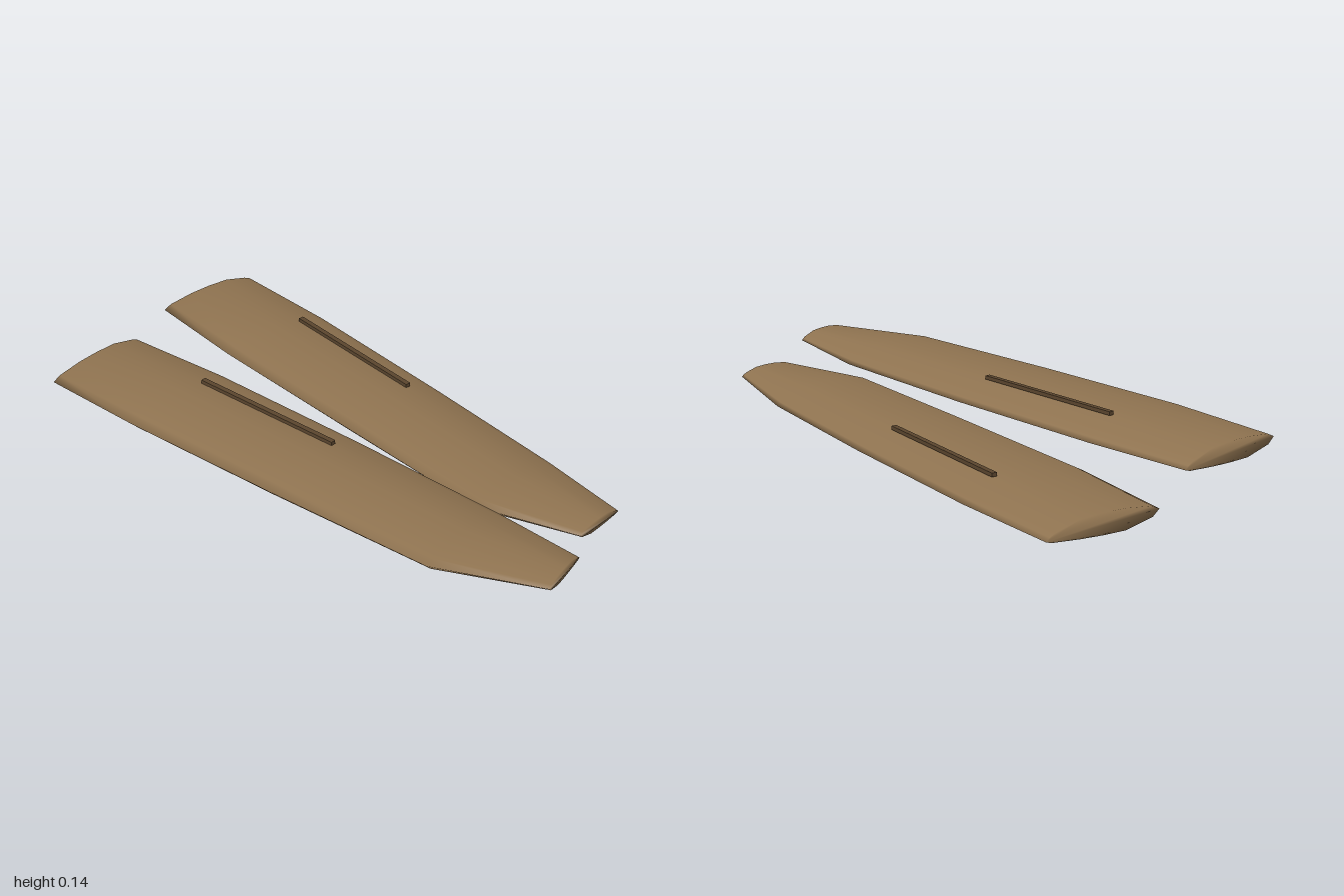
import * as THREE from 'three';

const wood = new THREE.MeshStandardMaterial({ color: 0x8f7350 });
const darkWood = new THREE.MeshStandardMaterial({ color: 0x5a452e });

// Plank cross-section: [fraction across from back edge to front edge, height]
const SECTION = [
  [0, 0.023], [0.03, 0.037], [0.09, 0.05], [0.3, 0.077], [0.5, 0.082], [0.7, 0.08], [0.93, 0.067],
  [1, 0.051], [0.94, 0.026], [0.7, 0], [0.5, 0.001], [0.3, 0.006], [0.05, 0.016],
];

// Thickness along the plank: [scale, middle height]
const THICKNESS = [[0.8, 0.038], [0.97, 0.041], [1, 0.041], [0.86, 0.042], [0.44, 0.052]];

// Loft the section through stations given as [backX, backZ, frontX, frontZ]
function plankGeometry(stations) {
  const n = SECTION.length, last = (stations.length - 1) * n;
  const pos = [], index = [];
  stations.forEach(([bx, bz, fx, fz], i) => {
    const [scale, mid] = THICKNESS[i];
    for (const [t, h] of SECTION) {
      pos.push(bx + (fx - bx) * t, mid + (h - 0.041) * scale, bz + (fz - bz) * t);
    }
  });
  for (let i = 0; i < stations.length - 1; i++) {
    for (let j = 0; j < n; j++) {
      const k = (j + 1) % n;
      const a = i * n + j, b = i * n + k, c = a + n, d = b + n;
      index.push(a, b, d, a, d, c);
    }
  }
  // end caps share the rim so the shading rolls softly over the ends
  for (let j = 1; j < n - 1; j++) {
    index.push(0, j + 1, j);
    index.push(last, last + j, last + j + 1);
  }
  const g = new THREE.BufferGeometry();
  g.setAttribute('position', new THREE.Float32BufferAttribute(pos, 3));
  g.setIndex(index);
  g.computeVertexNormals();
  return g;
}

// A plank with one thin grain strip lying on its upper face
function makePlank(name, y, stations, [x0, z0, x1, z1]) {
  const group = new THREE.Group();
  group.name = name;
  group.position.y = y;

  const board = new THREE.Mesh(plankGeometry(stations), wood);
  board.name = name + 'Board';

  const length = Math.hypot(x1 - x0, z1 - z0);
  const strip = new THREE.Mesh(new THREE.BoxGeometry(length, 0.012, 0.017), darkWood);
  strip.name = name + 'GrainStrip';
  strip.position.set((x0 + x1) / 2, 0.084, (z0 + z1) / 2);
  strip.rotation.y = -Math.atan2(z1 - z0, x1 - x0);

  group.add(board, strip);
  return group;
}

export function createModel() {
  const model = new THREE.Group();
  model.name = 'plankPair';
  model.add(
    makePlank('frontPlank', 0.055, [
      [-0.865, 0.11, -0.837, 0.493],
      [-0.5, 0.065, -0.46, 0.478],
      [0.08, 0.025, 0.1, 0.425],
      [0.65, 0, 0.68, 0.36],
      [0.955, 0.015, 1, 0.2],
    ], [-0.46, 0.186, 0.085, 0.142]),
    makePlank('backPlank', 0.003, [
      [-0.97, -0.495, -1, -0.115],
      [-0.59, -0.48, -0.63, -0.07],
      [0, -0.425, -0.02, -0.035],
      [0.53, -0.365, 0.53, -0.005],
      [0.845, -0.3, 0.855, -0.11],
    ], [-0.58, -0.36, -0.037, -0.315]),
  );
  return model;
}
